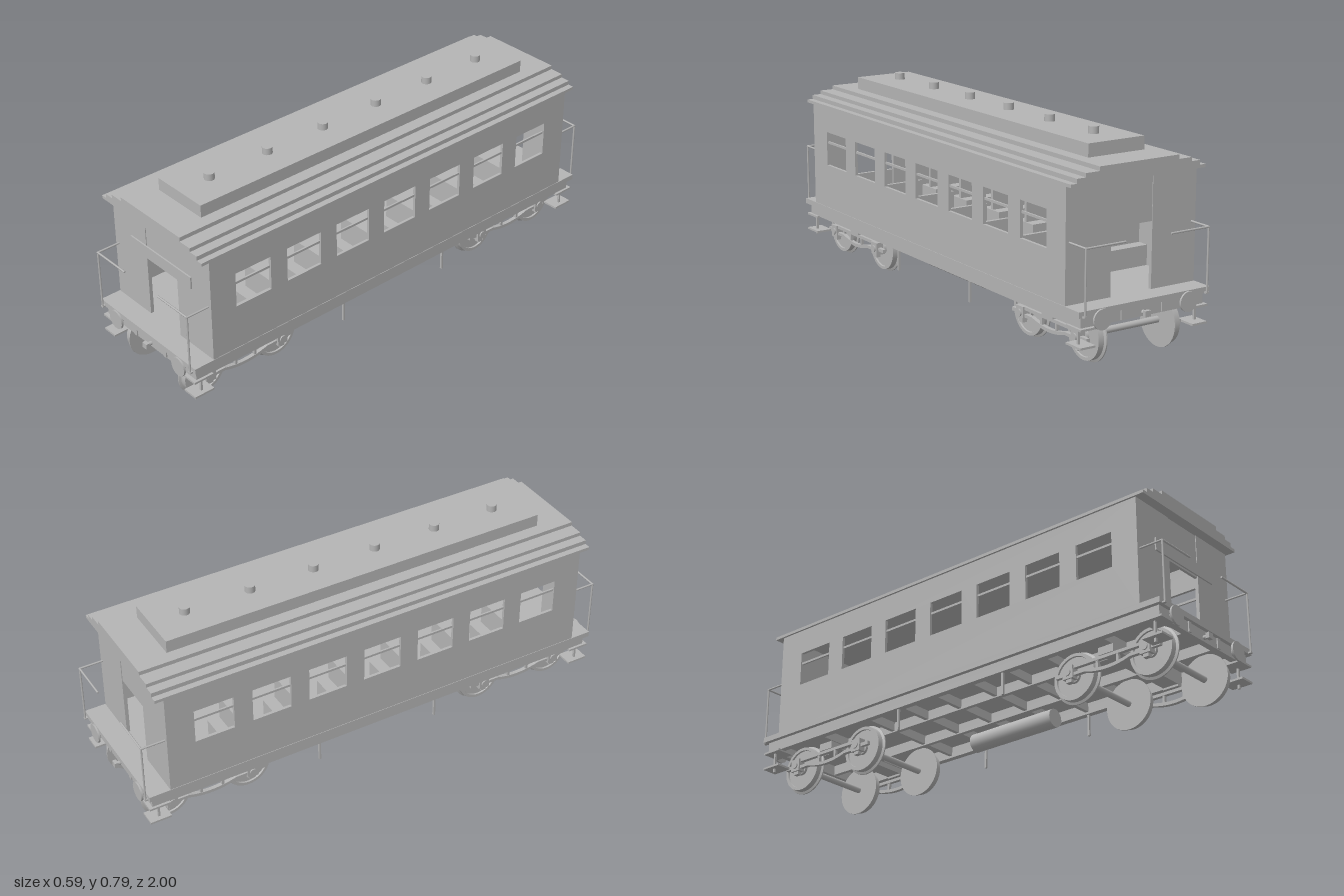
import * as THREE from 'three';

export function createModel() {
  const model = new THREE.Group();
  const grey = new THREE.MeshStandardMaterial({ color: 0xb4b4b4 });
  grey.name = 'plain grey';

  function add(name, geo, parent = model) {
    const m = new THREE.Mesh(geo, grey);
    m.name = name;
    parent.add(m);
    return m;
  }
  // box given by its limits on each axis
  function box(name, x0, x1, y0, y1, z0, z1, parent) {
    const g = new THREE.BoxGeometry(Math.abs(x1 - x0), y1 - y0, Math.abs(z1 - z0));
    g.translate((x0 + x1) / 2, (y0 + y1) / 2, (z0 + z1) / 2);
    return add(name, g, parent);
  }
  // cylinder along an axis, centred on a point
  function cyl(name, r, len, axis, x, y, z, parent, seg = 24) {
    const g = new THREE.CylinderGeometry(r, r, len, seg);
    if (axis === 'x') g.rotateZ(Math.PI / 2);
    if (axis === 'z') g.rotateX(Math.PI / 2);
    g.translate(x, y, z);
    return add(name, g, parent);
  }
  const polygon = (pts) => new THREE.Shape(pts.map(([a, b]) => new THREE.Vector2(a, b)));
  const rect = (a0, a1, b0, b1) => [[a0, b0], [a1, b0], [a1, b1], [a0, b1]];
  // extrude a (z, y) outline sideways between x0 and x0 + width
  function sideExtrude(name, shape, x0, width, parent) {
    const g = new THREE.ExtrudeGeometry(shape, { depth: width, bevelEnabled: false });
    g.rotateY(-Math.PI / 2);
    g.translate(x0 + width, 0, 0);
    return add(name, g, parent);
  }
  const both = [-1, 1];

  // side walls with seven windows and a sash bar in each
  for (const s of both) {
    const wall = polygon(rect(-0.9, 0.9, 0.212, 0.657));
    for (let i = -3; i <= 3; i++) {
      const c = i * 0.236;
      wall.holes.push(polygon(rect(c - 0.08, c + 0.08, 0.413, 0.553)));
      box('sashBar', s * 0.273, s * 0.28, 0.504, 0.513, c - 0.08, c + 0.08);
    }
    sideExtrude('sideWall', wall, s > 0 ? 0.273 : -0.285, 0.012);
  }

  // end walls with an open doorway, and a board over the front door
  for (const s of both) {
    const z0 = s * 0.886, z1 = s * 0.9;
    for (const k of both) box('endWallPanel', k * 0.09, k * 0.279, 0.232, 0.657, z0, z1);
    box('doorHeader', -0.09, 0.09, 0.48, 0.657, z0, s * 0.897);
  }
  box('nameBoard', -0.178, 0.178, 0.485, 0.535, 0.9, 0.906);

  // floor and stepped roof
  box('floor', -0.287, 0.287, 0.21, 0.232, -0.985, 0.985);
  const steps = [[0.293, 0.656, 0.668], [0.268, 0.668, 0.685], [0.23, 0.685, 0.7], [0.173, 0.7, 0.716]];
  for (const [w, y0, y1] of steps) box('roofStep', -w, w, y0, y1, -0.938, 0.938);
  box('clerestory', -0.123, 0.123, 0.716, 0.766, -0.805, 0.805);
  for (let i = 0; i < 6; i++) cyl('roofVent', 0.02, 0.027, 'y', 0, 0.7795, -0.67 + i * 0.268);

  // benches either side of the aisle
  for (const s of both) {
    for (let i = 0; i < 6; i++) {
      const z = -0.59 + i * 0.236;
      box('benchSeat', s * 0.088, s * 0.273, 0.232, 0.31, z - 0.055, z + 0.055);
      box('benchBack', s * 0.092, s * 0.273, 0.31, 0.41, z - 0.007, z + 0.007);
    }
  }

  // underframe
  for (const s of both) {
    box('soleBar', s * 0.245, s * 0.27, 0.166, 0.21, -0.97, 0.97);
    box('innerBeam', s * 0.081, s * 0.098, 0.17, 0.21, -0.975, 0.975);
    box('headstock', -0.247, 0.247, 0.167, 0.21, s * 0.945, s * 0.97);
  }
  for (const z of [-0.697, -0.44, -0.26, -0.09, 0.09, 0.26, 0.44, 0.697]) {
    box('crossBeam', -0.247, 0.247, 0.175, 0.21, z - 0.008, z + 0.008);
  }
  cyl('tank', 0.037, 0.4, 'z', 0.125, 0.128, 0, model, 32);
  for (const s of both) for (const e of both) {
    box('hangerRod', s * 0.253, s * 0.262, 0.08, 0.168, e * 0.26 - 0.004, e * 0.26 + 0.004);
  }

  // buffers, couplers, railings and steps at each end
  for (const e of both) {
    cyl('coupler', 0.008, 0.03, 'z', 0, 0.182, e * 0.983);
    box('couplerHead', -0.012, 0.012, 0.171, 0.193, e * 0.985, e * 1);
    for (const s of both) {
      cyl('bufferShank', 0.018, 0.03, 'z', s * 0.19, 0.192, e * 0.975);
      cyl('bufferHead', 0.038, 0.008, 'z', s * 0.19, 0.192, e * 0.988, model, 32);
      const zr = e * 0.994;
      cyl('railPost', 0.004, 0.245, 'y', s * 0.268, 0.333, zr, model, 8);
      cyl('endRail', 0.004, 0.17, 'x', s * 0.185, 0.455, zr, model, 8);
      cyl('sideRail', 0.004, 0.1, 'z', s * 0.268, 0.455, e * 0.946, model, 8);
      box('railFoot', s * 0.262, s * 0.274, 0.21, 0.216, e * 0.98, e * 0.998);
      box('upperStep', s * 0.205, s * 0.28, 0.16, 0.168, e * 0.9, e * 0.985);
      box('lowerStep', s * 0.215, s * 0.28, 0.095, 0.103, e * 0.9, e * 0.985);
      box('stepHanger', s * 0.253, s * 0.262, 0.08, 0.164, e * 0.938, e * 0.946);
    }
  }

  // wheel turned about its axle: flange inside, recessed disc outside
  const wheelProfile = [[0, 0], [0.1, 0], [0.1, 0.005], [0.091, 0.009], [0.09, 0.031], [0.078, 0.031],
    [0.077, 0.024], [0.026, 0.024], [0.025, 0.034], [0, 0.034]];
  // one flat-sided piece per profile step keeps the edges crisp
  function wheel(side, z, parent) {
    const group = new THREE.Group();
    group.name = 'wheel';
    for (let i = 0; i < wheelProfile.length - 1; i++) {
      const pts = [wheelProfile[i], wheelProfile[i + 1]].map(([r, h]) => new THREE.Vector2(r, h));
      add('wheelRing', new THREE.LatheGeometry(pts, 40), group);
    }
    group.rotation.z = -side * Math.PI / 2;
    group.position.set(side * 0.149, 0.1, z);
    parent.add(group);
  }

  // four-wheel trucks with arched side bars
  for (const e of both) {
    const truck = new THREE.Group();
    truck.name = 'truck';
    truck.position.z = e * 0.697;
    for (const d of both) {
      const z = d * 0.169;
      cyl('axle', 0.0125, 0.38, 'x', 0, 0.102, z, truck);
      for (const s of both) {
        wheel(s, z, truck);
        box('axleBox', s * 0.188, s * 0.218, 0.078, 0.128, z - 0.022, z + 0.022, truck);
        cyl('axleCap', 0.014, 0.006, 'x', s * 0.22, 0.102, z, truck);
        box('boxKeeper', s * 0.193, s * 0.212, 0.065, 0.078, z - 0.012, z + 0.012, truck);
        box('frameEnd', s * 0.196, s * 0.21, 0.094, 0.108, z, z + d * 0.06, truck);
      }
    }
    for (const s of both) {
      const x0 = s * 0.203 - 0.008;
      sideExtrude('upperBar', polygon(rect(-0.19, 0.19, 0.116, 0.128)), x0, 0.016, truck);
      const lower = polygon([[-0.17, 0.088], [-0.1, 0.088]]);
      lower.quadraticCurveTo(0, 0.056, 0.1, 0.088);
      lower.lineTo(0.17, 0.088);
      lower.lineTo(0.17, 0.1);
      lower.lineTo(0.1, 0.1);
      lower.quadraticCurveTo(0, 0.07, -0.1, 0.1);
      lower.lineTo(-0.17, 0.1);
      sideExtrude('archBar', lower, x0, 0.016, truck);
      for (const d of both) box('barPost', s * 0.197, s * 0.209, 0.085, 0.118, d * 0.04, d * 0.05, truck);
      box('bolsterEnd', s * 0.18, s * 0.215, 0.128, 0.158, -0.033, 0.033, truck);
    }
    box('bolster', -0.215, 0.215, 0.136, 0.158, -0.033, 0.033, truck);
    cyl('pivot', 0.035, 0.03, 'y', 0, 0.167, 0, truck);
    model.add(truck);
  }

  return model;
}
